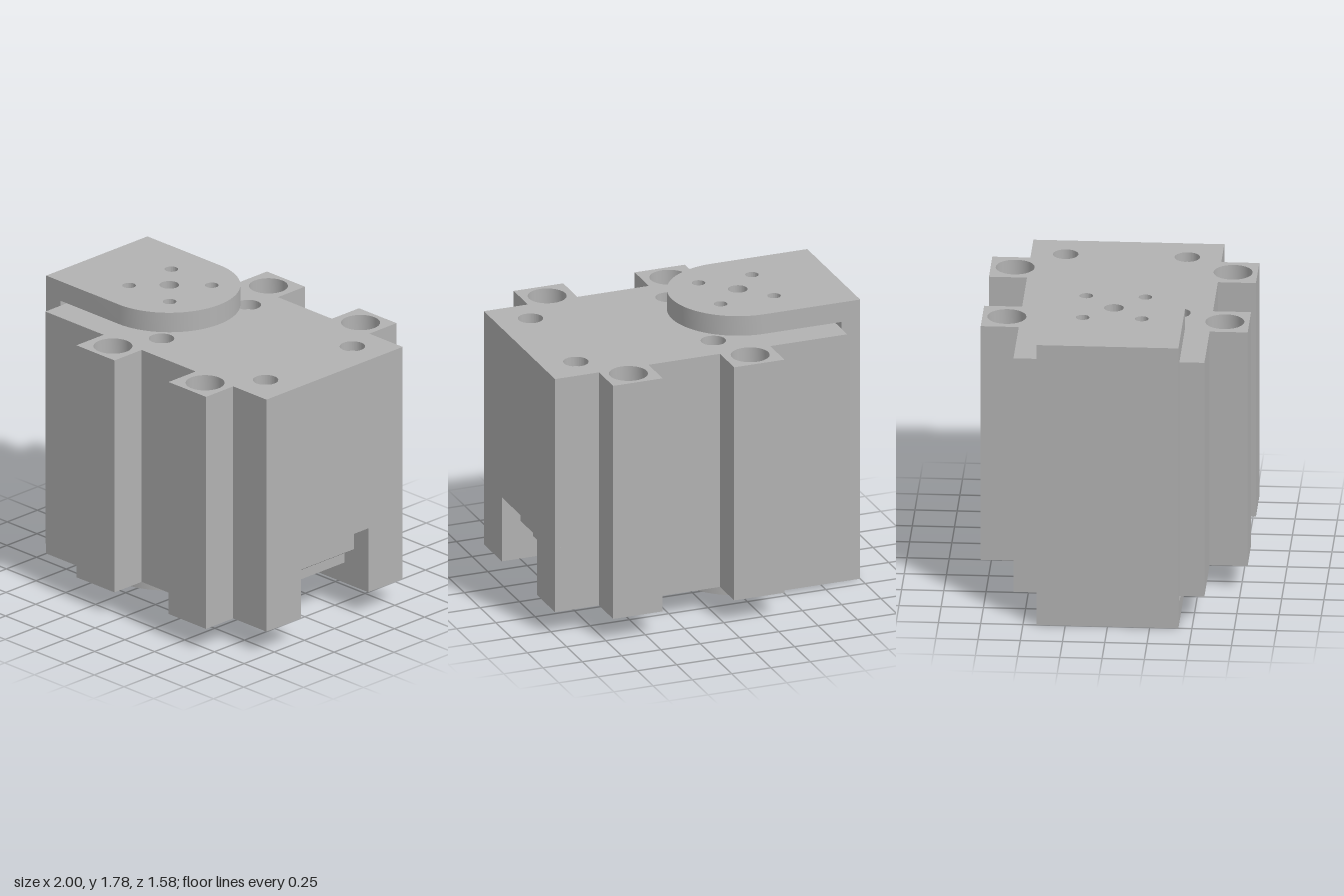
import * as THREE from 'three';
import { toCreasedNormals } from 'three/addons/utils/BufferGeometryUtils.js';

const EARS = [[-0.21, 0.645], [0.565, 0.645], [-0.21, -0.645], [0.565, -0.645]];
const SCREWS = [[-0.09, 0.36], [0.785, 0.36], [-0.09, -0.36], [0.785, -0.36]];
const HORN_X = -0.39;

export function createModel() {
  const gray = new THREE.MeshStandardMaterial({ color: 0xb2b2b2 });
  gray.name = 'gray';
  const model = new THREE.Group();
  model.name = 'servoWithBracket';

  const add = (name, geometry, parent = model) => {
    const mesh = new THREE.Mesh(geometry, gray);
    mesh.name = name;
    parent.add(mesh);
    return mesh;
  };
  // Extrude a plan shape upwards from y0 to y1
  const slab = (shape, y0, y1) => {
    const g = new THREE.ExtrudeGeometry(shape, { depth: y1 - y0, bevelEnabled: false, curveSegments: 32 });
    g.rotateX(-Math.PI / 2).translate(0, y0, 0);
    return toCreasedNormals(g, 0.5);
  };
  const hole = (shape, x, z, r) => shape.holes.push(new THREE.Path().absarc(x, z, r, 0, Math.PI * 2, true));
  const disc = (name, x, z, r, y0, y1, parent) => {
    const g = new THREE.CylinderGeometry(r, r, y1 - y0, 48);
    return add(name, g.translate(x, (y0 + y1) / 2, z), parent);
  };

  // Plan of the case with four mounting ribs; the +x side may be notched
  const casePlan = (notch, earRadius, screwRadius) => {
    const s = new THREE.Shape();
    const side = [[-0.86, 0.565], [-0.37, 0.565], [-0.37, 0.79], [-0.05, 0.79], [-0.05, 0.565],
      [0.405, 0.565], [0.405, 0.79], [0.72, 0.79], [0.72, 0.565], [1, 0.565]];
    s.moveTo(-0.86, -0.565);
    side.slice(1).forEach(([x, z]) => s.lineTo(x, -z));
    if (notch === 'pocket') {
      s.lineTo(1, -0.28);
      s.lineTo(HORN_X, -0.28);
      s.absarc(HORN_X, 0, 0.28, -Math.PI / 2, Math.PI / 2, true);
      s.lineTo(1, 0.28);
    } else if (notch === 'slot') {
      [[1, -0.28], [0.5, -0.28], [0.5, 0.28], [1, 0.28]].forEach(([x, z]) => s.lineTo(x, z));
    }
    [...side].reverse().forEach(([x, z]) => s.lineTo(x, z));
    s.closePath();
    EARS.forEach(([x, z]) => hole(s, x, z, earRadius));
    if (screwRadius) SCREWS.forEach(([x, z]) => hole(s, x, z, screwRadius));
    return s;
  };

  // Case in layers: open pocket below, cable slot, core, counterbored top
  const body = new THREE.Group();
  body.name = 'servoCase';
  model.add(body);
  add('caseBottom', slab(casePlan('pocket', 0.115, 0.075), 0.15, 0.28), body);
  add('caseSlotLayer', slab(casePlan('slot', 0.06, 0), 0.28, 0.56), body);
  add('caseCore', slab(casePlan('', 0.06, 0), 0.56, 1.51), body);
  add('caseTop', slab(casePlan('', 0.115, 0.075), 1.51, 1.64), body);

  // Recessed back wall of the cable slot
  const wall = new THREE.Shape([[0.5, 0.28], [0.8, 0.28], [0.8, 0.34], [0.88, 0.39], [0.88, 0.56], [0.5, 0.56]]
    .map(([x, y]) => new THREE.Vector2(x, y)));
  add('slotWall', new THREE.ExtrudeGeometry(wall, { depth: 0.56, bevelEnabled: false }).translate(0, 0, -0.28), body);

  // Recessed screws, with a cross in those at the +x end
  SCREWS.forEach(([x, z]) => {
    for (const top of [true, false]) {
      const screw = new THREE.Group();
      screw.name = 'screw';
      screw.position.set(x, top ? 1.51 : 0.28, z);
      if (!top) screw.rotation.x = Math.PI;
      const ring = new THREE.Shape().absarc(0, 0, 0.075, 0, Math.PI * 2);
      hole(ring, 0, 0, 0.04);
      add('screwSeat', slab(ring, 0, 0.07), screw);
      disc('screwHead', 0, 0, 0.028, 0, 0.05, screw);
      if (x > 0) {
        add('screwCross', new THREE.BoxGeometry(0.07, 0.01, 0.014).translate(0, 0.055, 0), screw);
        add('screwCross', new THREE.BoxGeometry(0.014, 0.01, 0.07).translate(0, 0.055, 0), screw);
      }
      model.add(screw);
    }
  });

  // Output horns and the lower bearing boss
  disc('topHorn', HORN_X, 0, 0.355, 1.64, 1.66);
  disc('bottomHorn', HORN_X, 0, 0.355, 0.125, 0.15);
  disc('bearingBoss', HORN_X, 0, 0.265, 0.15, 0.24);
  disc('bearingNeck', HORN_X, 0, 0.25, 0.24, 0.28);

  // Connector pins inside the pocket
  for (const x of [0.22, 0.34]) {
    for (const z of [-0.08, 0, 0.08]) disc('connectorPin', x, z, 0.022, 0.18, 0.28);
  }

  // U-shaped bracket: two round-ended drilled arms joined by a back plate
  const bracket = new THREE.Group();
  bracket.name = 'bracket';
  model.add(bracket);
  const arm = new THREE.Shape();
  arm.moveTo(-1, -0.42);
  arm.lineTo(HORN_X, -0.42);
  arm.absarc(HORN_X, 0, 0.42, -Math.PI / 2, Math.PI / 2, false);
  arm.lineTo(-1, 0.42);
  arm.closePath();
  hole(arm, HORN_X, 0, 0.058);
  for (const x of [-0.55, -0.21]) for (const z of [-0.175, 0.175]) hole(arm, x, z, 0.04);
  add('bottomArm', slab(arm, 0, 0.125), bracket);
  add('topArm', slab(arm, 1.66, 1.785), bracket);
  add('backPlate', new THREE.BoxGeometry(0.12, 1.535, 0.84).translate(-0.94, 0.8925, 0), bracket);

  return model;
}
